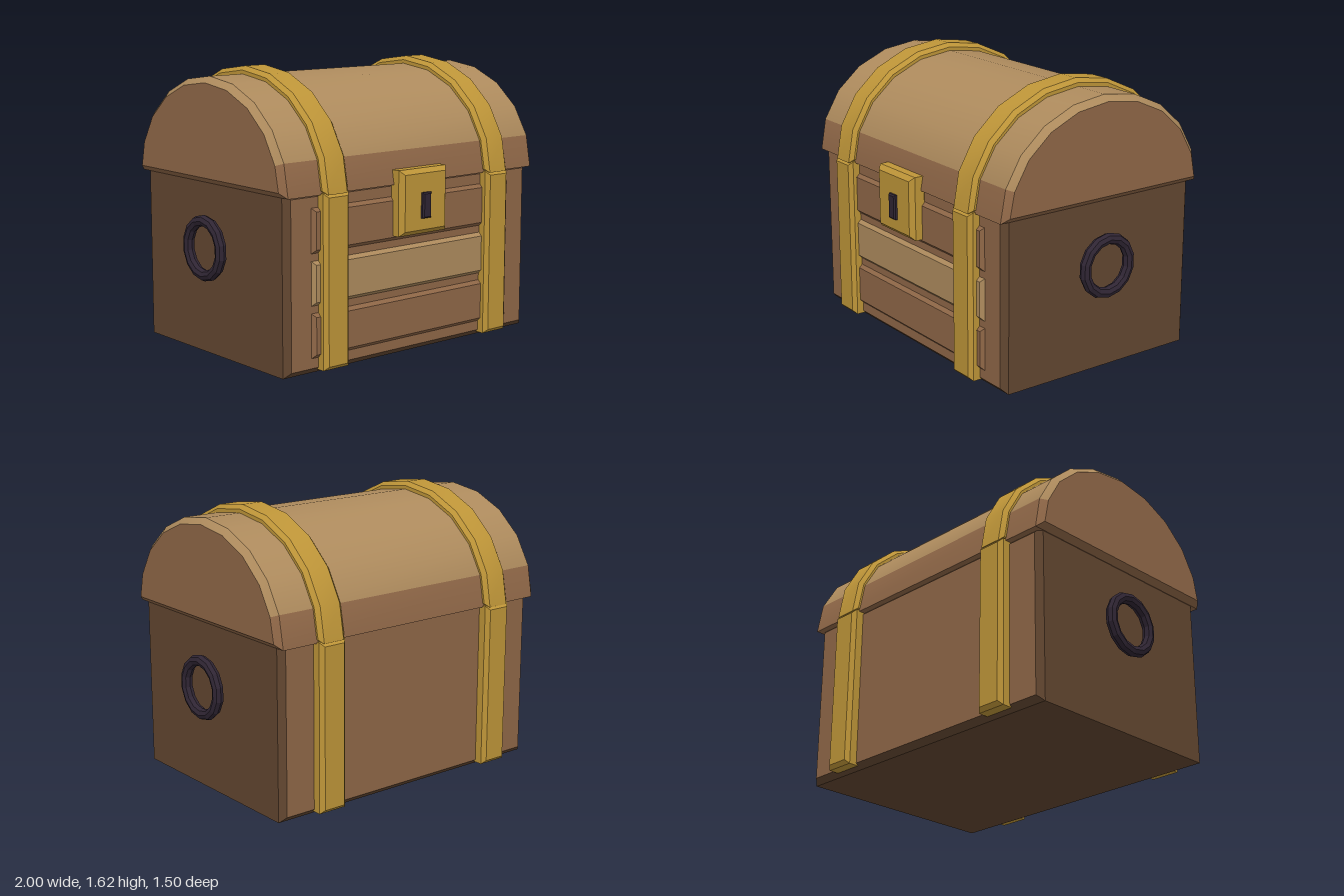
import * as THREE from 'three';
import { toCreasedNormals } from 'three/addons/utils/BufferGeometryUtils.js';

const material = (name, color) => {
  const m = new THREE.MeshStandardMaterial({ color });
  m.name = name;
  return m;
};

// Extrude a shape with a single chamfer that stays inside its outline
function chamfered(shape, length, b) {
  const geo = new THREE.ExtrudeGeometry(shape, {
    depth: length - 2 * b, bevelEnabled: true, bevelSegments: 1,
    bevelSize: b, bevelThickness: b, bevelOffset: -b, steps: 1,
  });
  return geo.translate(0, 0, b);
}

// Slab facing z with chamfered front and back rims
function slab(x0, x1, y0, y1, z0, z1, b) {
  const s = new THREE.Shape();
  s.moveTo(x0, y0).lineTo(x1, y0).lineTo(x1, y1).lineTo(x0, y1).closePath();
  return chamfered(s, z1 - z0, b).translate(0, 0, z0);
}

const LID_BASE = 0.977, MID_Z = -0.021;

// Half-ellipse arch running along x, centred on x = 0
function arch(rz, ry, width, b) {
  const points = [];
  for (let i = 0; i <= 10; i++) {
    const a = (i / 10) * Math.PI;
    points.push(new THREE.Vector2(-MID_Z + rz * Math.cos(a), LID_BASE + ry * Math.sin(a)));
  }
  const geo = chamfered(new THREE.Shape(points), width, b)
    .translate(0, 0, -width / 2).rotateY(Math.PI / 2);
  return toCreasedNormals(geo, 0.5);
}

export function createModel() {
  const wood = material('wood', 0x8f6747);
  const darkWood = material('darkWood', 0x624630);
  const paleWood = material('paleWood', 0xae8b5d);
  const gold = material('gold', 0xbe9538);
  const iron = material('iron', 0x2f2533);

  const group = new THREE.Group();
  const add = (name, geo, mat) => {
    const mesh = new THREE.Mesh(geo, mat);
    mesh.name = name;
    group.add(mesh);
    return mesh;
  };

  // Body: front and back in wood, ends and chamfers darker
  add('body', slab(-0.912, 0.912, 0, 1, -0.68, 0.642, 0.033), [wood, darkWood]);

  // Raised front planks
  [[0.087, 0.338, wood], [0.375, 0.623, paleWood], [0.66, 0.91, wood]].forEach(([y0, y1, mat]) =>
    add('frontPlank', slab(-0.745, 0.745, y0, y1, 0.59, 0.662, 0.022), mat));

  // Lid: pale curved top, wood ends, underside and lowest bands
  const lid = arch(0.689, 0.593, 1.9, 0.034);
  const capCount = lid.groups[0].count;
  const pos = lid.attributes.position;
  lid.clearGroups();
  for (let i = 0; i < pos.count; i += 3) {
    const low = Math.min(pos.getY(i), pos.getY(i + 1), pos.getY(i + 2));
    lid.addGroup(i, 3, i >= capCount && low > 1.1 ? 1 : 0);
  }
  add('lid', lid, [wood, paleWood]);

  // Metal straps over the lid and down the front and back
  for (const side of [-1, 1]) {
    const x = side * 0.607, h = 0.088;
    add('lidStrap', arch(0.722, 0.638, 2 * h, 0.023), gold).position.x = x;
    add('frontStrap', slab(x - h, x + h, 0.02, 0.985, 0.58, 0.706, 0.022), gold);
    add('backStrap', slab(x - h, x + h, 0.02, 0.985, -0.749, -0.62, 0.022), gold);
  }

  // Lock plate and keyhole
  add('lockPlate', slab(-0.178, 0.178, 0.69, 1.06, 0.62, 0.732, 0.026), gold);
  add('keyhole', slab(-0.032, 0.032, 0.782, 0.927, 0.7, 0.752, 0.008), iron);

  // Ring handles on both ends
  const ring = new THREE.TorusGeometry(0.156, 0.032, 8, 14).rotateZ(Math.PI / 2)
    .rotateY(Math.PI / 2).toNonIndexed();
  ring.computeVertexNormals();
  for (const side of [-1, 1]) {
    add('ringHandle', ring, iron).position.set(side * 0.968, 0.618, MID_Z);
  }
  return group;
}
